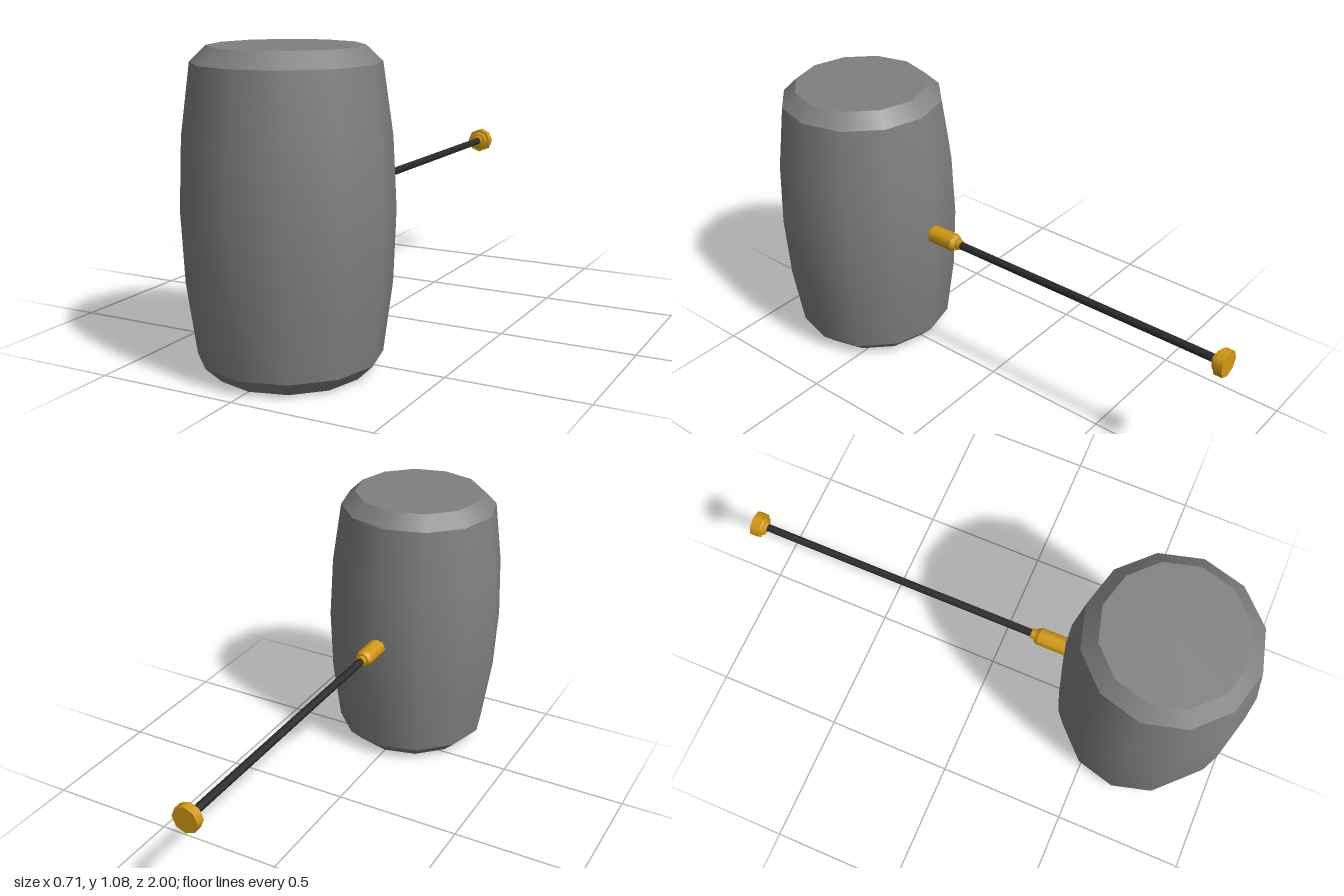
import * as THREE from 'three';
import { mergeGeometries } from 'three/addons/utils/BufferGeometryUtils.js';

const MID_Y = 0.54; // height of the handle, half the head

// Lathe from several profile strips [radius, height]; strips meet in hard edges, each is smooth inside.
function turned(strips, sides) {
  return mergeGeometries(strips.map((strip) =>
    new THREE.LatheGeometry(strip.map(([r, h]) => new THREE.Vector2(r, h)), sides)));
}

// One strip per profile segment, so every ring is a hard edge.
const segments = (points) => points.slice(1).map((p, i) => [points[i], p]);

export function createModel() {
  const model = new THREE.Group();
  model.name = 'mallet';

  const stone = new THREE.MeshStandardMaterial({ color: 0x808080 });
  stone.name = 'grey head';
  const gold = new THREE.MeshStandardMaterial({ color: 0xd39a10 });
  gold.name = 'gold fittings';
  const black = new THREE.MeshStandardMaterial({ color: 0x2a2a2c });
  black.name = 'black shaft';

  const add = (name, geometry, material) => {
    const mesh = new THREE.Mesh(geometry, material);
    mesh.name = name;
    model.add(mesh);
    return mesh;
  };

  // Barrel-shaped head with bevelled rims and flat ends
  const head = add('head', turned([
    [[0, 0], [0.255, 0]],
    [[0.255, 0], [0.31, 0.053]],
    [[0.31, 0.053], [0.343, 0.295], [0.354, 0.54], [0.343, 0.785], [0.31, 1.027]],
    [[0.31, 1.027], [0.255, 1.08]],
    [[0.255, 1.08], [0, 1.08]],
  ], 12), stone);
  head.position.z = 0.646;

  // Handle parts are turned about the z axis, profiles running from back to front
  const addHandlePart = (name, strips, material) => {
    add(name, turned(strips, 8).rotateX(Math.PI / 2), material).position.y = MID_Y;
  };

  addHandlePart('shaft', [[[0.015, -0.96], [0.015, 0.2]]], black);

  // Stepped socket joining shaft and head
  addHandlePart('socket', segments([
    [0, 0.158], [0.02, 0.158], [0.02, 0.176], [0.027, 0.176], [0.035, 0.19], [0.035, 0.31], [0, 0.31],
  ]), gold);

  // Pommel with a stepped collar
  addHandlePart('pommel', segments([
    [0, -1], [0.05, -1], [0.05, -0.967], [0.039, -0.967], [0.036, -0.955],
    [0.022, -0.952], [0.02, -0.946], [0, -0.946],
  ]), gold);

  return model;
}
